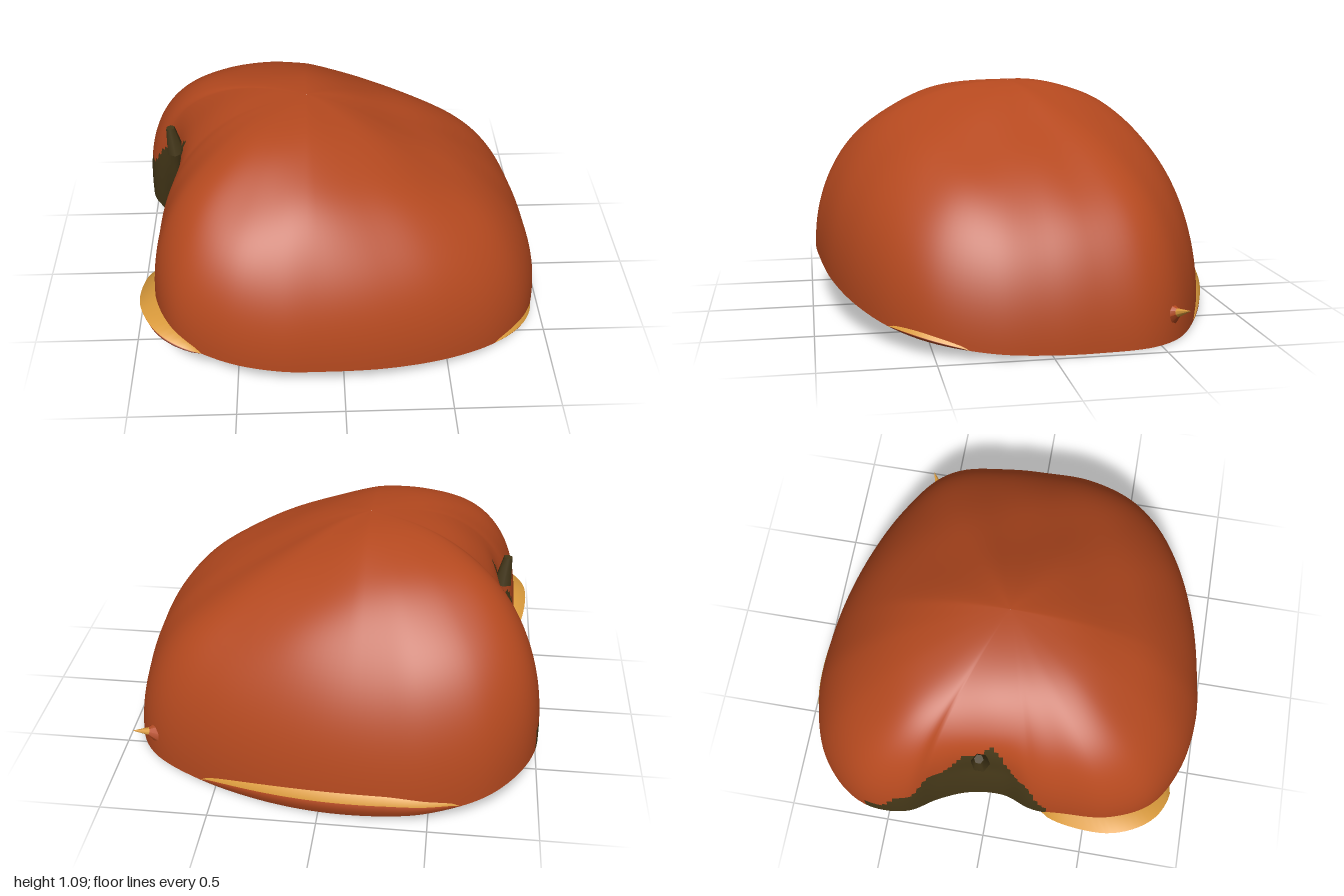
import * as THREE from 'three';

const mat = (name, color, side = THREE.FrontSide) => {
  const m = new THREE.MeshStandardMaterial({ color, side });
  m.name = name;
  return m;
};

// Plan outline of the cut half fruit, with the stem notch on the -x side
const OUTLINE = [
  [0.99, 0], [0.98, 0.25], [0.89, 0.5], [0.74, 0.67], [0.5, 0.81], [0.2, 0.91], [-0.1, 0.96],
  [-0.3, 0.975], [-0.55, 0.93], [-0.77, 0.8], [-0.87, 0.6], [-0.88, 0.38], [-0.87, 0.22], [-0.82, 0.08],
  [-0.83, -0.09], [-0.89, -0.24], [-0.975, -0.38], [-0.985, -0.56], [-0.92, -0.71], [-0.76, -0.86],
  [-0.5, -0.95], [-0.3, -0.965], [0, -0.94], [0.3, -0.87], [0.6, -0.75], [0.83, -0.6], [0.93, -0.45], [0.975, -0.2],
];
const N = 200, CX = -0.15, TOP = 1.1;
const spokes = new THREE.CatmullRomCurve3(
  OUTLINE.map(([x, z]) => new THREE.Vector3(x, 0, z)), true).getPoints(N).slice(0, N);

// Height of the tilted cut face: rises to the front and to the notch side
const baseY = (x, z) => {
  const y = 0.11 - 0.115 * x + 0.11 * z;
  return 0.005 + (y + Math.sqrt(y * y + 0.002)) / 2 + 0.04 * Math.max(-x, 0) ** 4;
};

// Point on the skin; t = 0 at the rim and 1 at the crown
function skinPoint(p, t) {
  const dx = p.x - CX, dz = p.z, c = dx / Math.hypot(dx, dz);
  const n = c > 0 ? 2.15 - 0.15 * c * c : 2.15 + 0.35 * c * c;
  const a = t * Math.PI / 2;
  let r = Math.cos(a) ** (2 / n);
  const h = Math.sin(a) ** (2 / n), b = baseY(p.x, p.z);
  // flatter slope on the +x side
  const dip = 0.105 * Math.max(c, 0) ** 1.25 * Math.max(Math.sin(Math.PI * r), 0) ** 1.4;
  // the notch closes towards the crown
  if (p.x < CX && Math.abs(dz) < 0.45) {
    const fill = Math.max(1, -0.75 / (dx - 0.13 * dz));
    r *= 1 + (fill - 1) * THREE.MathUtils.smoothstep(h, 0.4, 0.8);
  }
  const x = CX + dx * r, z = dz * r;
  const bump = 0.006 * Math.sin(9 * x + 4 * z) * Math.sin(11 * z - 3 * x) * Math.sin(2 * a);
  return new THREE.Vector3(x, b + (TOP - b) * h - dip + bump, z);
}

// Skin a grid of rows; pick(centre, row) chooses the material index of each cell
function gridGeometry(rows, cols, closed, point, pick) {
  const pos = [], lists = [[], []];
  for (let i = 0; i <= rows; i++)
    for (let j = 0; j < cols; j++) pos.push(point(i, j));
  const last = closed ? cols : cols - 1;
  for (let i = 0; i < rows; i++) {
    for (let j = 0; j < last; j++) {
      const k = (j + 1) % cols;
      const a = i * cols + j, b = i * cols + k, c = a + cols, d = b + cols;
      const mid = pos[a].clone().add(pos[d]).multiplyScalar(0.5);
      lists[pick(mid, i)].push(a, c, b, b, c, d);
    }
  }
  const g = new THREE.BufferGeometry().setFromPoints(pos);
  g.setIndex([...lists[0], ...lists[1]]);
  g.addGroup(0, lists[0].length, 0);
  g.addGroup(lists[0].length, lists[1].length, 1);
  g.computeVertexNormals();
  return g;
}

export function createModel() {
  const group = new THREE.Group();
  const red = mat('redSkin', 0xb5491f);
  const cream = mat('creamFlesh', 0xdc9c3c);
  const dark = mat('darkCavity', 0x443718);
  const add = (name, geometry, material) => {
    const m = new THREE.Mesh(geometry, material);
    m.name = name;
    group.add(m);
    return m;
  };

  // Domed skin, with the dark hollow of the notch
  const inNotch = (p) => {
    if (p.x > -0.66 || p.z < -0.6 || p.z > 0.3) return 0;
    const limit = p.z < 0 ? 0.86 + p.z : 0.86 - 1.6 * p.z;
    return p.y < limit + 0.03 * Math.sin(40 * p.z) ? 1 : 0;
  };
  add('skin', gridGeometry(56, N, true,
    (i, j) => skinPoint(spokes[j], Math.min(i / 56, 0.9995)), inNotch), [red, dark]);

  // Cut face, with a skin-coloured rim and a stain along its diagonal
  const inStain = (p, row) => {
    const u = (p.x + p.z) / Math.SQRT2, v = (p.x - p.z) / Math.SQRT2;
    const wave = 0.17 + 0.04 * Math.sin(17 * u) + 0.03 * Math.sin(29 * u);
    const streak = ((u - 0.27) / 0.48) ** 2 + ((v - wave) / 0.2) ** 2 < 1;
    const blob = ((p.x - 0.82) / 0.2) ** 2 + ((p.z - 0.17) / 0.3) ** 2 < 1;
    return row > (p.z < 0 ? 41 : 42) || streak || blob ? 1 : 0;
  };
  add('cutFace', gridGeometry(44, N, true, (i, j) => {
    const s = Math.max(i / 44, 0.001), p = spokes[j];
    const x = CX + (p.x - CX) * s, z = p.z * s;
    return new THREE.Vector3(x, baseY(x, z), z);
  }, inStain), [cream, red]);

  // Rolled lips along the rim: skin outside, cream flesh showing on top
  const rimLip = (name, inside, push, height, topRows) => {
    const path = spokes.filter(inside);
    add(name, gridGeometry(3, path.length, false, (i, k) => {
      const p = path[k], swell = Math.sin(Math.PI * k / (path.length - 1)) ** 0.6;
      const len = Math.hypot(p.x - CX, p.z);
      const out = [0, 0.85, 1, -0.15][i] * push * swell;
      const y = baseY(p.x, p.z) + [0, 0.35, ...topRows][i] * height * swell;
      return new THREE.Vector3(p.x + (p.x - CX) / len * out, y, p.z + p.z / len * out);
    }, (mid, row) => (row < 2 ? 1 : 0)), [cream, red]);
  };
  rimLip('frontRimLip', (p) => p.x < -0.62 && p.z > 0.26, 0.085, 0.07, [0.9, 1]);
  rimLip('backRimLip', (p) => p.x < 0.62 && p.x > -0.68 && p.z < -0.6, 0.025, 0.12, [0.7, 1]);
  rimLip('cornerRimLip', (p) => p.x > 0.7 && p.z > 0.35, 0.015, 0.035, [0.5, 1]);

  // Seed bulging from the cut face
  const seed = add('seed', new THREE.SphereGeometry(1, 20, 12), cream);
  seed.scale.set(0.13, 0.035, 0.07);
  seed.rotation.y = -Math.PI / 4;
  seed.position.set(-0.2, baseY(-0.2, -0.27), -0.27);

  // Pointed blossom tip on a skin-coloured nub at the rim
  const outward = new THREE.Vector3(0.8, 0.3, -0.45).normalize();
  const spike = (name, r, len, offset, material) => {
    const m = add(name, new THREE.ConeGeometry(r, len, 8), material);
    m.position.set(0.875, 0.15, -0.59).addScaledVector(outward, offset);
    m.quaternion.setFromUnitVectors(new THREE.Vector3(0, 1, 0), outward);
  };
  spike('blossomNub', 0.07, 0.1, -0.03, red);
  spike('blossomTip', 0.035, 0.14, 0, cream);

  // Ragged stem scrap at the top of the notch
  const scrap = add('stemScrap', new THREE.CylinderGeometry(0.022, 0.045, 0.14, 6), dark);
  scrap.position.set(-0.8, 0.835, -0.03);
  scrap.rotation.z = 0.12;
  return group;
}
